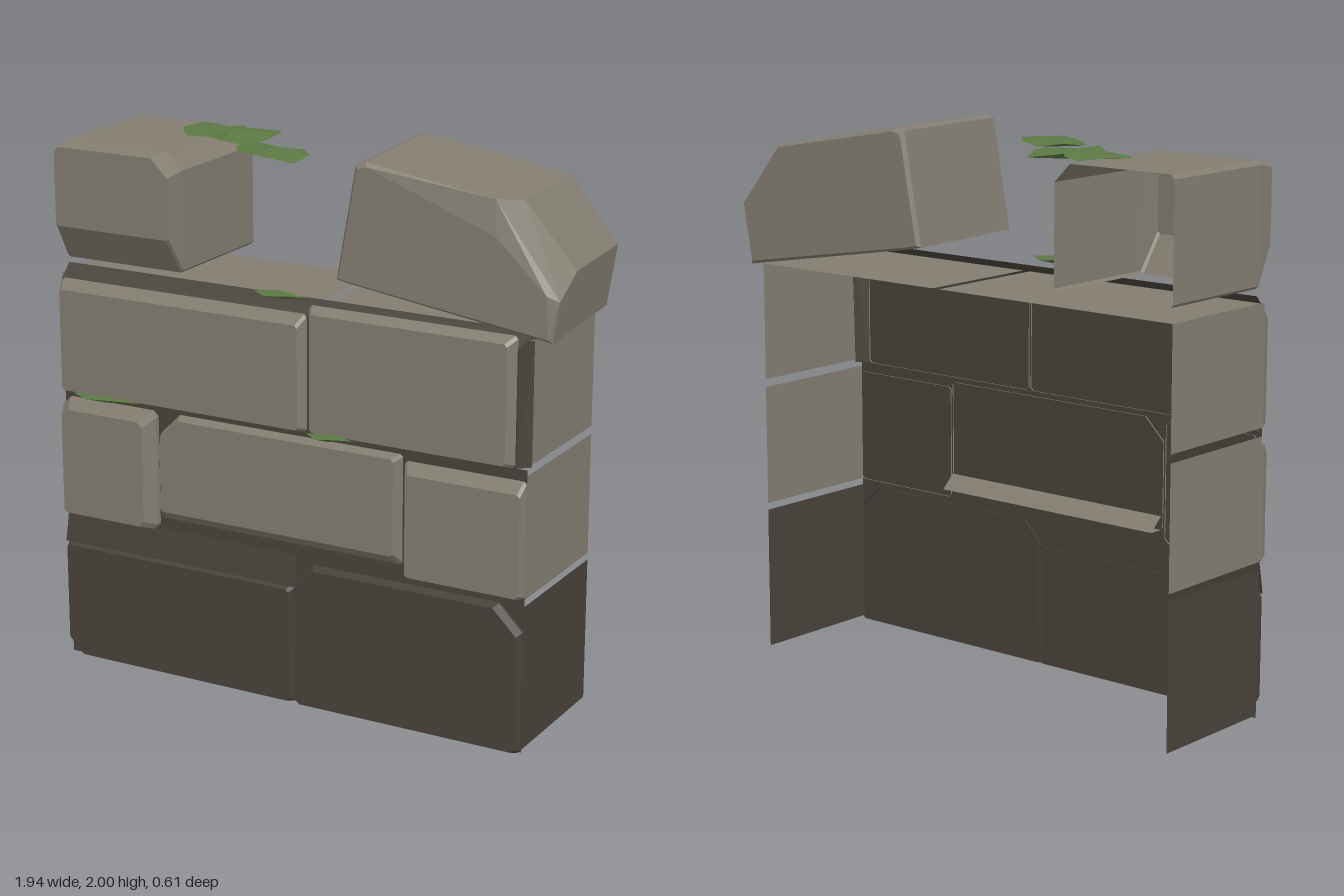
import * as THREE from 'three';
import { ConvexGeometry } from 'three/addons/geometries/ConvexGeometry.js';

const material = (name, color) =>
  new THREE.MeshStandardMaterial({ name, color, side: THREE.DoubleSide });

const WALL_Z = 0.255, BACK_Z = -0.26, LEFT_X = 0.88, RIGHT_X = -0.97;

// Geometry from a list of triangles of [x, y, z] corners, flat shaded
function fromCorners(corners) {
  const g = new THREE.BufferGeometry();
  g.setAttribute('position', new THREE.Float32BufferAttribute(corners.flat(), 3));
  g.computeVertexNormals();
  return g;
}

// Rectangle with cut corners, counter-clockwise; cuts: [x0y0, x1y0, x1y1, x0y1]
function outline(x0, x1, y0, y1, z, [a, b, c, d]) {
  return [
    [x0 + a, y0, z], [x1 - b, y0, z], [x1, y0 + b, z], [x1, y1 - c, z],
    [x1 - c, y1, z], [x0 + d, y1, z], [x0, y1 - d, z], [x0, y0 + a, z],
  ];
}

// Stone face lofted from the wall to a bevelled front, open at the back.
// bevel: inset of the front face [x0, x1, y0, y1]
function stoneGeometry({ box: [x0, x1, y0, y1], front, bevel, depth = 0.03,
  cuts = [0.01, 0.01, 0.01, 0.01], back = WALL_Z - 0.005, openBottom = false }) {
  const [l, r, b, t] = bevel;
  const rings = [
    outline(x0, x1, y0, y1, back, cuts),
    outline(x0, x1, y0, y1, front - depth, cuts),
    outline(x0 + l, x1 - r, y0 + b, y1 - t, front, cuts),
  ];
  const tris = [];
  for (let k = 0; k < 2; k++) {
    for (let i = 0; i < 8; i++) {
      if (openBottom && k === 0 && i === 0) continue;
      const j = (i + 1) % 8, p = rings[k], q = rings[k + 1];
      tris.push(p[i], p[j], q[j], p[i], q[j], q[i]);
    }
  }
  for (let i = 1; i < 7; i++) tris.push(rings[2][0], rings[2][i], rings[2][i + 1]);
  return fromCorners(tris);
}

// Strip swept across the wall from a [z, y] profile
function ribbonGeometry(x0, x1, profile) {
  const tris = [];
  for (let i = 0; i < profile.length - 1; i++) {
    const [za, ya] = profile[i], [zb, yb] = profile[i + 1];
    const a = [x0, ya, za], b = [x1, ya, za], c = [x1, yb, zb], d = [x0, yb, zb];
    tris.push(a, b, c, a, c, d);
  }
  return fromCorners(tris);
}

// Thin ragged moss cushion: a wavy [x, z] rim joined to a raised and a lowered centre
function mossGeometry(points, y, thickness) {
  const n = points.length;
  const rim = points.map(([x, z], i) => [x, y + thickness * 0.5 * Math.sin(i * 2.2), z]);
  const cx = points.reduce((s, p) => s + p[0], 0) / n;
  const cz = points.reduce((s, p) => s + p[1], 0) / n;
  const top = [cx, y + thickness, cz], bottom = [cx, y - thickness, cz];
  const tris = [];
  for (let i = 0; i < n; i++) {
    const a = rim[i], b = rim[(i + 1) % n];
    tris.push(top, b, a, bottom, a, b);
  }
  return fromCorners(tris);
}

export function createModel() {
  const stone = material('stone', 0x837d70);
  const dark = material('darkStone', 0x48423a);
  const moss = material('moss', 0x5b7843);
  const model = new THREE.Group();
  model.name = 'ruinedWall';
  const add = (name, geometry, mat) => {
    const m = new THREE.Mesh(geometry, mat);
    m.name = name;
    model.add(m);
    return m;
  };

  // Mortar sheet behind the stones, chamfered along its top and upper left edge
  const upperEdge = 0.84;
  add('mortarLower', ribbonGeometry(RIGHT_X, LEFT_X, [[WALL_Z, 0], [WALL_Z, 1.02]]), dark);
  add('mortarUpper', ribbonGeometry(RIGHT_X, upperEdge, [
    [WALL_Z, 1.02], [WALL_Z, 1.435], [0.208, 1.487]]), dark);
  const a = [upperEdge, 1.02, WALL_Z], b = [LEFT_X, 1.02, 0.22], c = [LEFT_X, 1.487, 0.208],
    d = [upperEdge, 1.435, WALL_Z], e = [upperEdge, 1.487, 0.208];
  add('mortarEdge', fromCorners([a, b, c, a, c, d, d, c, e]), dark);
  add('mortarLedge', ribbonGeometry(RIGHT_X, 0, [
    [WALL_Z, 0.435], [0.28, 0.445], [0.257, 0.56]]), dark);

  // Bottom row
  add('bottomStoneRight', stoneGeometry({ box: [-0.97, -0.01, 0, 0.445], front: 0.29,
    bevel: [0.01, 0.01, 0.01, 0.01], cuts: [0.06, 0.01, 0.01, 0.01] }), dark);
  add('bottomStoneLeft', stoneGeometry({ box: [0, 0.88, 0, 0.535], front: 0.295,
    bevel: [0.015, 0.01, 0.01, 0.01], cuts: [0.01, 0.01, 0.09, 0.07] }), dark);

  // Middle row
  add('middleStoneRight', stoneGeometry({ box: [-0.97, -0.57, 0.555, 1.0], front: 0.3,
    bevel: [0.01, 0.045, 0.01, 0.04], cuts: [0.01, 0.02, 0.02, 0.03] }), stone);
  add('middleStoneCentre', stoneGeometry({ box: [-0.56, 0.415, 0.6, 1.0], front: 0.3,
    bevel: [0.02, 0.015, 0.04, 0.01], depth: 0.045, cuts: [0.01, 0.01, 0.01, 0.08] }), stone);
  add('middleStoneLeft', stoneGeometry({ box: [0.425, 0.88, 0.56, 0.98], front: 0.29,
    bevel: [0.015, 0.01, 0.01, 0.04] }), stone);
  // Foot of the centre stone showing through the back of the mortar
  add('middleStoneFoot', ribbonGeometry(-0.55, 0.42, [
    [WALL_Z, 0.6], [0.2, 0.6], [WALL_Z, 0.65]]), stone);

  // Top row
  add('upperStoneRight', stoneGeometry({ box: [-0.97, 0.04, 1.02, 1.44], front: 0.29,
    bevel: [0.01, 0.02, 0.01, 0.035] }), stone);
  add('upperStoneLeft', stoneGeometry({ box: [0.05, 0.835, 1.02, 1.475], front: 0.285,
    bevel: [0.015, 0.025, 0.01, 0.025] }), stone);

  // Side panels, one per row, on both ends of the wall
  const rows = [[0.01, 0.535, dark], [0.56, 1.0, stone], [1.03, 1.46, stone]];
  for (const [x, side, turn] of [[LEFT_X, 'left', 1], [RIGHT_X, 'right', -1]]) {
    rows.forEach(([y0, y1, mat], i) => {
      const front = side === 'left' && i === 2 ? 0.22 : WALL_Z;
      const g = new THREE.PlaneGeometry(front - BACK_Z, y1 - y0);
      g.rotateY(turn * Math.PI / 2);
      g.translate(x, (y0 + y1) / 2, (front + BACK_Z) / 2);
      add(`${side}SidePanel${i + 1}`, g, mat);
    });
  }

  // Slabs along the top of the wall
  const slabFront = 0.23;
  for (const [name, x0, x1] of [['topSlabRight', RIGHT_X, 0.03], ['topSlabLeft', 0.06, LEFT_X]]) {
    const g = new THREE.PlaneGeometry(x1 - x0, slabFront - BACK_Z);
    g.rotateX(-Math.PI / 2);
    g.translate((x0 + x1) / 2, 1.46, (slabFront + BACK_Z) / 2);
    add(name, g, stone);
  }

  // Upright cap stone, hollow behind and below
  add('capStone', stoneGeometry({ box: [-0.97, -0.48, 1.51, 1.94], front: 0.295,
    bevel: [0.01, 0.01, 0.13, 0.015], depth: 0.08, cuts: [0.01, 0.01, 0.065, 0.015],
    back: BACK_Z, openBottom: true }), stone);

  // Tilted cap stone with a sloped shoulder and one broken front corner
  const cx = 0.55, cy = 1.73;
  const profile = [[0.155, 1.59], [0.225, 1.99], [0.26, 2.0], [0.79, 1.905],
    [0.965, 1.68], [0.93, 1.46], [0.9, 1.465], [0.2, 1.58]];
  const brokenCorner = [[0.72, 1.92, 0.255], [0.79, 1.905, 0.17], [0.965, 1.68, 0.14],
    [0.95, 1.6, 0.255], [0.73, 1.8, 0.275], [0.91, 1.62, 0.275]];
  const corners = brokenCorner.map(([x, y, z]) => new THREE.Vector3(x - cx, y - cy, z));
  for (const s of [-1, 1]) {
    profile.forEach(([x, y], i) => {
      if (s > 0 && (i === 3 || i === 4)) return;
      corners.push(new THREE.Vector3(x - cx, y - cy, s * 0.26));
      corners.push(new THREE.Vector3((x - cx) * 0.97, (y - cy) * 0.95, s * 0.275));
    });
  }
  const tilted = add('tiltedCapStone', new ConvexGeometry(corners), stone);
  tilted.position.set(cx, cy, 0);
  tilted.rotation.y = 0.075;

  // Moss cushions
  add('mossLarge', mossGeometry([[-0.675, -0.1], [-0.64, -0.19], [-0.55, -0.225], [-0.49, -0.22],
    [-0.455, -0.18], [-0.35, -0.25], [-0.3, -0.14], [-0.29, -0.06], [-0.32, 0.03],
    [-0.41, 0.07], [-0.49, 0], [-0.6, -0.01]], 1.953, 0.018), moss);
  add('mossSmall', mossGeometry([[-0.34, 0.08], [-0.29, 0.02], [-0.19, 0], [-0.1, 0.03],
    [-0.03, 0.11], [-0.04, 0.2], [-0.12, 0.22], [-0.22, 0.19], [-0.3, 0.14]], 1.953, 0.018), moss);
  const tufts = [[-0.155, 0.06, 1.505], [-0.92, -0.63, 1.022], [0.05, 0.24, 1.022]];
  tufts.forEach(([x0, x1, y], i) => {
    const w = x1 - x0;
    add(`mossTuft${i + 1}`, mossGeometry([[x0, 0.28], [x0 + w * 0.3, 0.257], [x0 + w * 0.75, 0.26],
      [x1, 0.283], [x0 + w * 0.7, 0.305], [x0 + w * 0.25, 0.302]], y, 0.015), moss);
  });

  return model;
}
